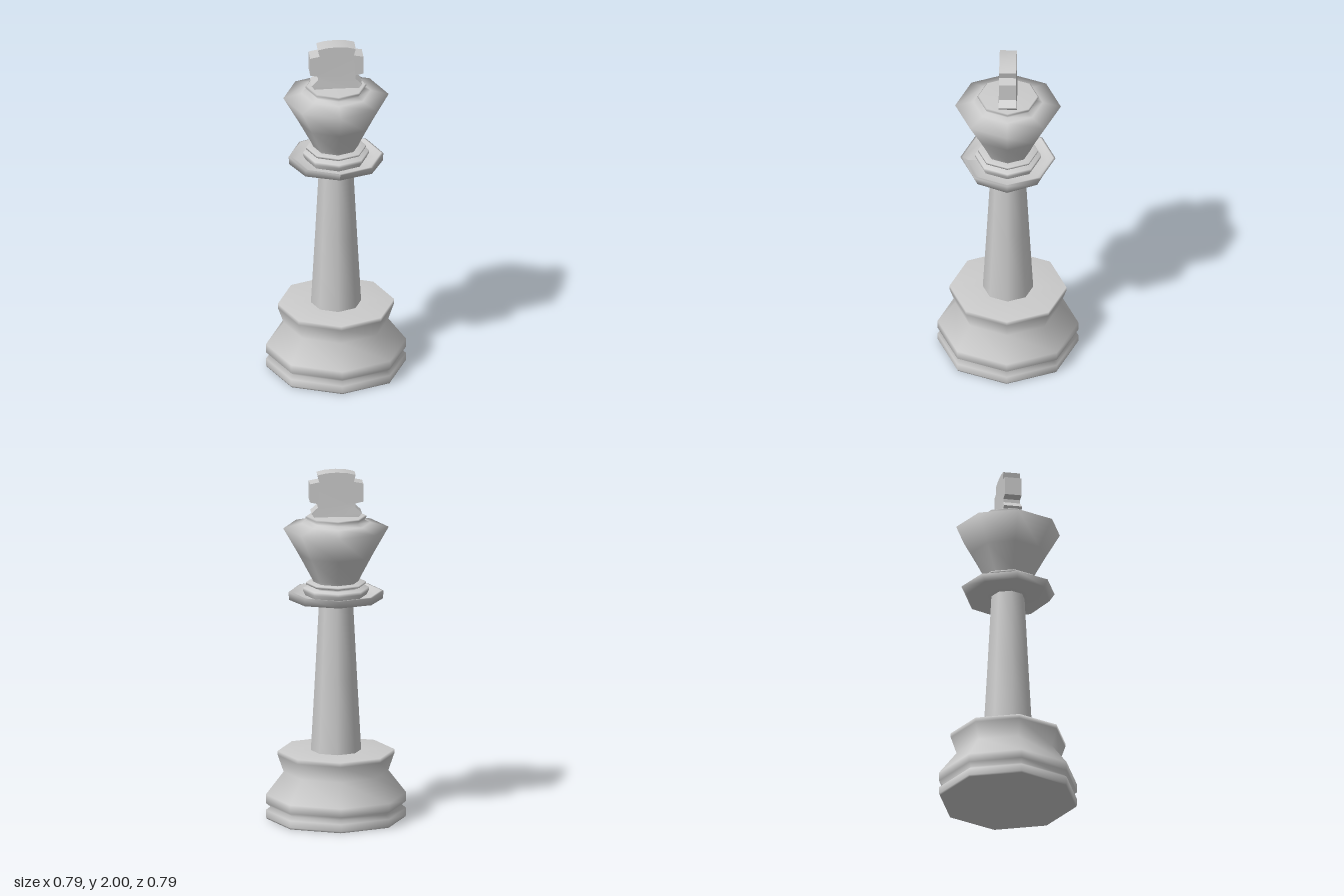
import * as THREE from 'three';
import { toCreasedNormals } from 'three/addons/utils/BufferGeometryUtils.js';

const material = new THREE.MeshStandardMaterial({ color: 0xcccccc, side: THREE.DoubleSide });

// Eight-sided turned part from [radius, height] pairs, bottom to top.
function turned(name, profile) {
  const points = profile.map(([r, y]) => new THREE.Vector2(r, y));
  const mesh = new THREE.Mesh(new THREE.LatheGeometry(points, 8), material);
  mesh.name = name;
  return mesh;
}

// Flat cross with a flared foot, mirrored about its centre line.
function makeCross() {
  const right = [
    [0.12, 1.735], [0.142, 1.765], [0.105, 1.8], [0.105, 1.82], [0.15, 1.83],
    [0.15, 1.935], [0.097, 1.945], [0.107, 1.985], [0.06, 1.996],
  ];
  const left = right.map(([x, y]) => [-x, y]).reverse();
  const outline = [...right, [0, 2], ...left].map(([x, y]) => new THREE.Vector2(x, y));
  const geometry = new THREE.ExtrudeGeometry(new THREE.Shape(outline), { depth: 0.096, bevelEnabled: false });
  geometry.translate(0, 0, -0.048);
  // The foot is slightly thicker than the arms.
  const p = geometry.attributes.position;
  for (let i = 0; i < p.count; i++) {
    if (p.getY(i) < 1.79) p.setZ(i, p.getZ(i) * 1.08);
  }
  const mesh = new THREE.Mesh(toCreasedNormals(geometry, 0.7), material);
  mesh.name = 'cross';
  return mesh;
}

export function createModel() {
  const group = new THREE.Group();
  group.name = 'chessKing';

  // Foot with a groove near the floor and a waist under its rim
  group.add(turned('base', [
    [0, 0], [0.39, 0], [0.395, 0.01], [0.395, 0.05], [0.37, 0.07], [0.395, 0.09],
    [0.395, 0.14], [0.295, 0.27], [0.328, 0.365], [0.328, 0.39], [0.13, 0.392],
  ]));
  group.add(turned('column', [[0.142, 0.385], [0.118, 0.82], [0.095, 1.26]]));

  // Dished collar, its underside narrower from front to back
  const collar = turned('collar', [
    [0.09, 1.26], [0.25, 1.26], [0.267, 1.305], [0.255, 1.307], [0.225, 1.285], [0.15, 1.285],
  ]);
  const p = collar.geometry.attributes.position;
  for (let i = 0; i < p.count; i++) {
    if (p.getY(i) < 1.27) {
      p.setX(i, p.getX(i) * 1.06);
      p.setZ(i, p.getZ(i) * 0.95);
    }
  }
  collar.geometry.computeVertexNormals();
  group.add(collar);

  // Stacked rings between the collar and the head
  group.add(turned('neckRings', [
    [0.17, 1.28], [0.185, 1.31], [0.185, 1.328], [0.14, 1.332], [0.14, 1.345],
    [0.168, 1.348], [0.168, 1.36], [0.12, 1.364],
  ]));

  group.add(turned('head', [
    [0.125, 1.355], [0.135, 1.38], [0.21, 1.52], [0.297, 1.672], [0.195, 1.7],
    [0.16, 1.714], [0.173, 1.735], [0.165, 1.742], [0, 1.746],
  ]));
  group.add(makeCross());
  return group;
}
